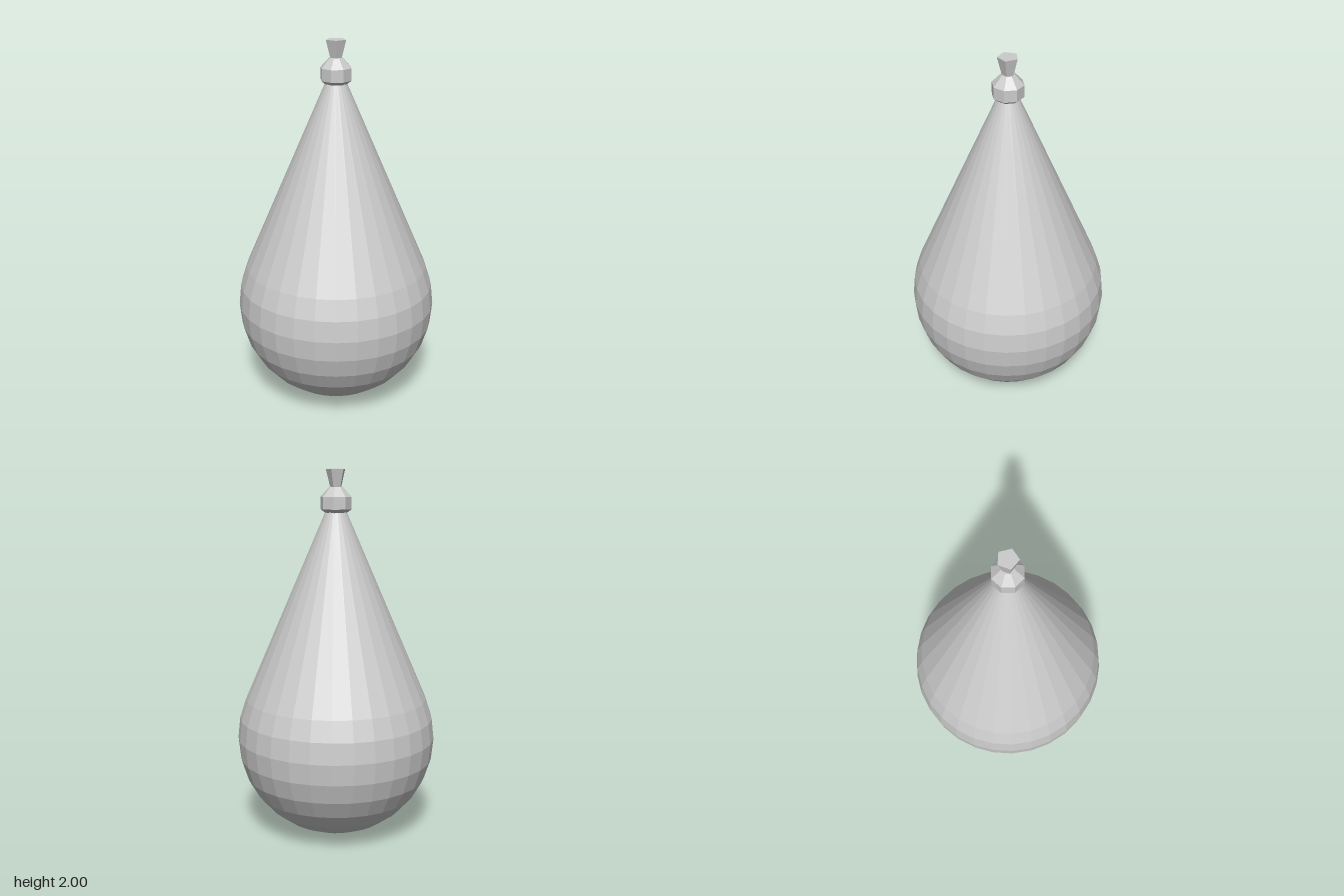
import * as THREE from 'three';

// Faceted surface of revolution with a corner on the +x axis; profile is [radius, y] from bottom to top
function turned(name, profile, sides, material) {
  const points = profile.map(([r, y]) => new THREE.Vector2(r, y));
  const mesh = new THREE.Mesh(new THREE.LatheGeometry(points, sides), material);
  mesh.name = name;
  mesh.rotation.y = Math.PI / 2;
  return mesh;
}

export function createModel() {
  const group = new THREE.Group();
  group.name = 'teardropBag';
  const material = new THREE.MeshStandardMaterial({ color: 0xcccccc, flatShading: true });

  // Body: round lower part in 12 degree bands, drawn up into a long cone
  const radius = 0.543, centerY = 0.54;
  const body = [[0, 0]];
  for (let deg = -84; deg <= 24; deg += 12) {
    const a = THREE.MathUtils.degToRad(deg);
    body.push([radius * Math.cos(a), centerY + radius * Math.sin(a)]);
  }
  body.push([0.055, 1.78], [0.03, 1.84], [0, 1.84]);
  group.add(turned('body', body, 30, material));

  // Knot: eight-sided collar around the neck
  group.add(turned('knot', [
    [0, 1.765], [0.052, 1.765], [0.084, 1.79], [0.084, 1.855], [0.036, 1.907], [0, 1.907],
  ], 8, material));

  // Spout: five-sided end flaring out of the knot
  group.add(turned('spout', [[0, 1.78], [0.055, 2], [0, 2]], 5, material));

  return group;
}
